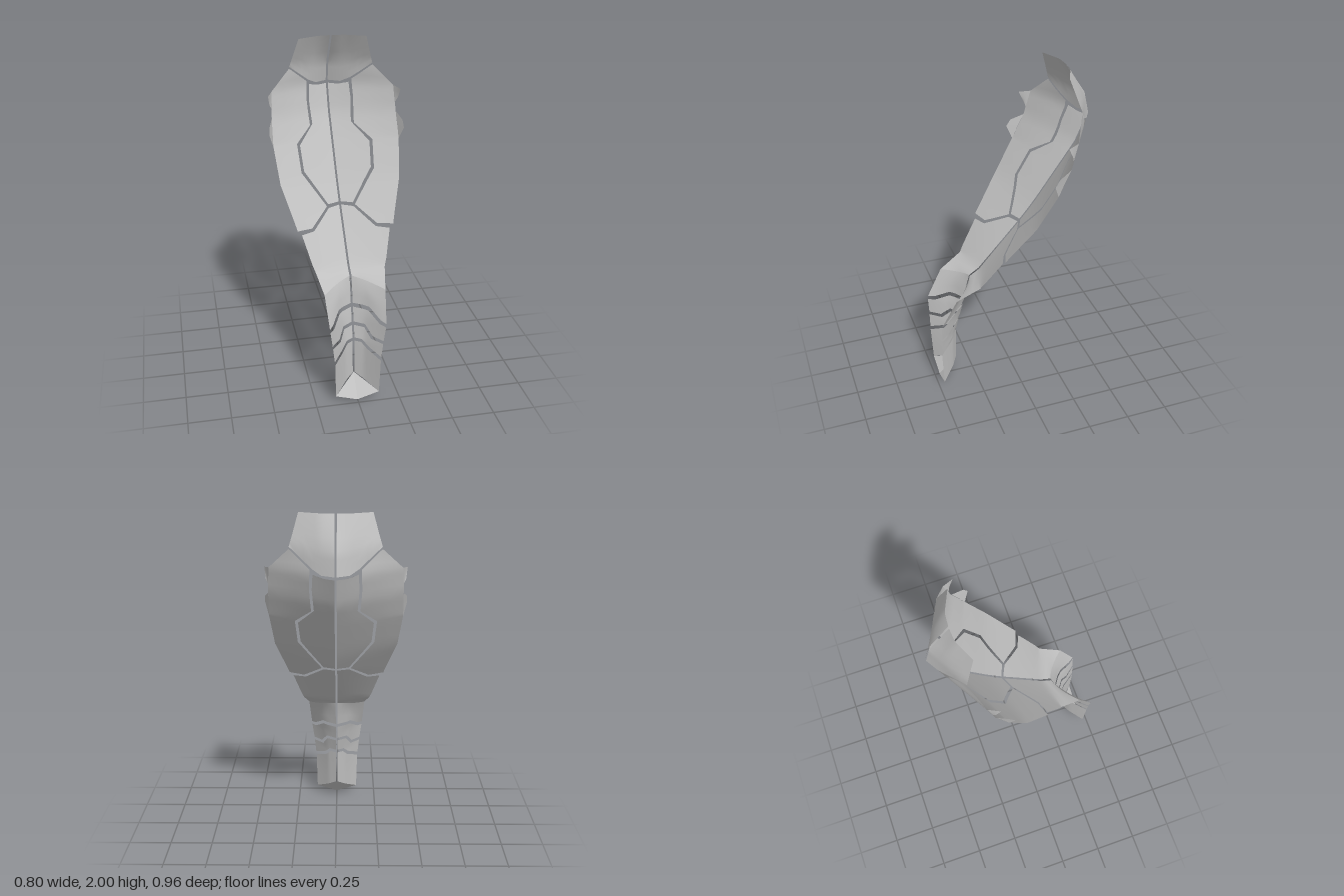
import * as THREE from 'three';

// centre ridge: [y, z]
const RIDGE = [[2, -0.33], [1.82, -0.45], [1.69, -0.48], [1.52, -0.41], [1.15, -0.15], [1.04, -0.06],
  [0.76, 0.19], [0.72, 0.25], [0.55, 0.29], [0.35, 0.345], [0.12, 0.355], [0, 0.36]];
// outer rim: [y, x, z]
const RIM = [[2, 0.2, -0.27], [1.82, 0.25, -0.33], [1.7, 0.365, -0.265], [1.55, 0.375, -0.225],
  [1.4, 0.378, -0.155], [1.2, 0.355, -0.04], [0.97, 0.285, 0.12], [0.76, 0.205, 0.25],
  [0.68, 0.178, 0.385], [0.5, 0.165, 0.48], [0.26, 0.136, 0.48], [0.04, 0.13, 0.47]];
// how far the V section bows away from straight: [y, amount]
const BOW = [[2, 0.3], [1.82, 0], [0.72, 0], [0.55, 0.13], [0, 0.1]];

function lookup(table, y, k = 1) {
  if (y >= table[0][0]) return table[0][k];
  for (let i = 1; i < table.length; i++) {
    const a = table[i - 1], b = table[i];
    if (y >= b[0]) return a[k] + (b[k] - a[k]) * (a[0] - y) / (a[0] - b[0]);
  }
  return table[table.length - 1][k];
}

// depth of the folded shell at a point of its front outline
function depth(x, y) {
  const u = x / lookup(RIM, y, 1), zc = lookup(RIDGE, y), ze = lookup(RIM, y, 2);
  const tri = Math.max(0, Math.min(u / 0.4, (1 - u) / 0.6));
  return zc + (ze - zc) * (u - lookup(BOW, y) * tri);
}

// surface through rows of [x, y] or [x, y, z] points, mirrored by side
function plate(rows, side, n = 3, m = 3) {
  const mix = (p, q, t) => p.map((v, i) => v + (q[i] - v) * t);
  const refine = (list, k, f) => {
    const out = [];
    for (let i = 0; i < list.length - 1; i++) for (let j = 0; j < k; j++) out.push(f(list[i], list[i + 1], j / k));
    out.push(list[list.length - 1]);
    return out;
  };
  const grid = refine(rows.map(r => refine(r, n, mix)), m, (a, b, t) => a.map((p, i) => mix(p, b[i], t)));
  const w = grid[0].length, pos = [], index = [];
  for (const row of grid) for (const [x, y, z] of row) pos.push(side * x, y, z ?? depth(x, y));
  for (let r = 0; r < grid.length - 1; r++) for (let c = 0; c < w - 1; c++) {
    const a = r * w + c, b = a + 1, d = a + w, e = d + 1;
    // outward is towards the back
    if (side > 0) index.push(a, b, d, b, e, d);
    else index.push(a, d, b, b, d, e);
  }
  const g = new THREE.BufferGeometry();
  g.setAttribute('position', new THREE.Float32BufferAttribute(pos, 3));
  g.setIndex(index);
  g.computeVertexNormals();
  return g;
}

const G = 0.006; // half width of the centre slit
const CREASE = [[G, 0.72], [0.07, 0.705], [0.12, 0.693], [0.178, 0.68]];
const FOOT = [[G, 0.12], [0.045, 0.095], [0.09, 0.065], [0.13, 0.04]];

const PARTS = {
  crownPlate: [
    [[G, 2], [0.065, 2], [0.13, 2], [0.2, 2]],
    [[G, 1.82], [0.072, 1.825], [0.14, 1.84], [0.232, 1.885]],
    [[G, 1.692], [0.075, 1.692], [0.128, 1.722], [0.25, 1.825]],
  ],
  innerPlate: [
    [[G, 1.675], [0.07, 1.675]],
    [[G, 1.655], [0.122, 1.692]],
    [[G, 1.6], [0.128, 1.6]],
    [[G, 1.47], [0.119, 1.47]],
    [[G, 1.375], [0.212, 1.375]],
    [[G, 1.24], [0.203, 1.24]],
    [[G, 1.055], [0.075, 1.055]],
  ],
  sidePlate: [
    [[0.24, 1.805], [0.252, 1.812]],
    [[0.138, 1.715], [0.365, 1.7]],
    [[0.143, 1.6], [0.372, 1.6]],
    [[0.135, 1.465], [0.377, 1.45]],
    [[0.23, 1.385], [0.378, 1.4]],
    [[0.22, 1.235], [0.357, 1.2]],
    [[0.085, 1.047], [0.3, 1.02]],
    [[0.195, 0.965], [0.285, 0.97]],
  ],
  waistPlate: [
    [[G, 1.04], [0.075, 1.037], [0.185, 0.95], [0.262, 0.947]],
    [[G, 0.85], [0.08, 0.845], [0.155, 0.83], [0.22, 0.8]],
    [[G, 0.76], [0.075, 0.755], [0.135, 0.755], [0.205, 0.76]],
    CREASE,
  ],
  neckPlate: [
    CREASE,
    [[G, 0.56], [0.09, 0.56], [0.14, 0.512], [0.165, 0.505]],
  ],
  upperBand: [
    [[G, 0.537], [0.085, 0.537], [0.135, 0.488], [0.163, 0.485]],
    [[G, 0.45], [0.065, 0.45], [0.098, 0.396], [0.15, 0.393]],
  ],
  lowerBand: [
    [[G, 0.43], [0.06, 0.43], [0.09, 0.376], [0.148, 0.373]],
    [[G, 0.355], [0.045, 0.355], [0.078, 0.32], [0.138, 0.285]],
  ],
  tailPlate: [
    [[G, 0.335], [0.04, 0.335], [0.07, 0.302], [0.136, 0.262]],
    FOOT,
  ],
  // upper and lower barbs folded forward from the rim
  upperBarb: [
    [[0.365, 1.7, -0.265], [0.394, 1.69, -0.2]],
    [[0.37, 1.6, -0.238], [0.385, 1.63, -0.228]],
  ],
  lowerBarb: [
    [[0.374, 1.55, -0.225], [0.398, 1.515, -0.15]],
    [[0.376, 1.48, -0.19], [0.401, 1.475, -0.125]],
    [[0.378, 1.4, -0.155], [0.38, 1.405, -0.152]],
  ],
  // sloping closure at the tip
  tipCap: [
    [[0, 0.12, 0.355], [0.13, 0.04, 0.47]],
    [[0, 0, 0.47], [0, 0, 0.47]],
  ],
};

export function createModel() {
  const group = new THREE.Group();
  group.name = 'platedShell';
  const grey = new THREE.MeshStandardMaterial({ color: 0xbfbfbf, side: THREE.DoubleSide });
  grey.name = 'light grey';
  for (const [name, rows] of Object.entries(PARTS)) {
    for (const side of [1, -1]) {
      const mesh = new THREE.Mesh(plate(rows, side), grey);
      mesh.name = (side > 0 ? 'left ' : 'right ') + name;
      group.add(mesh);
    }
  }
  return group;
}
